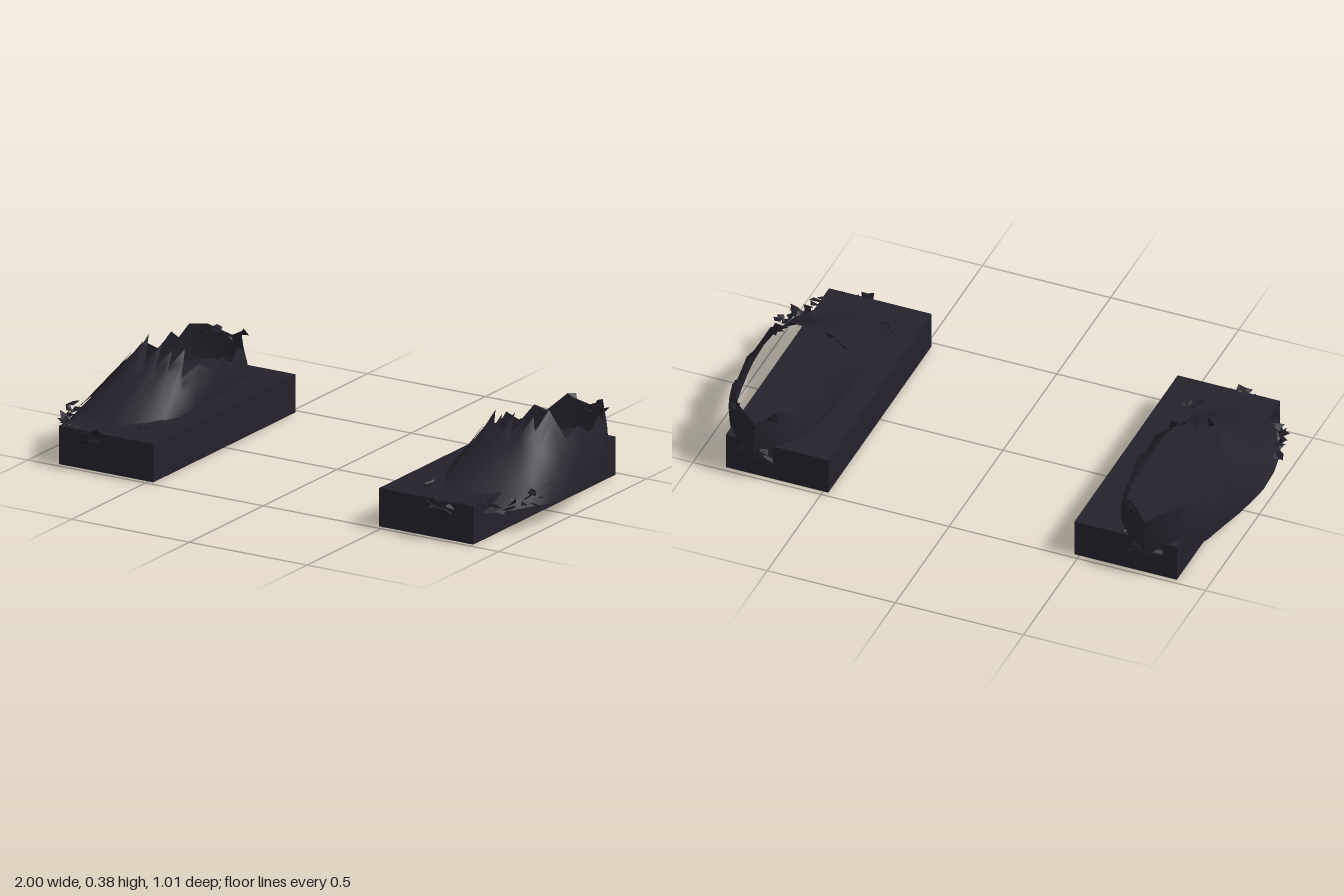
import * as THREE from 'three';

// Rows of x, y, z running heel -> outer side -> toe -> inner side -> heel.
const HEM = [
  .76, .08, -.50, .84, .08, -.47, .89, .08, -.40, .91, .08, -.36, .93, .08, -.31, .95, .08, -.22,
  .97, .075, -.12, .985, .075, -.03, .995, .075, .05, .995, .085, .15, .98, .095, .24, .95, .10, .33,
  .90, .10, .40, .83, .11, .45, .75, .11, .49, .70, .11, .47, .65, .11, .42, .61, .11, .36,
  .58, .10, .30, .56, .10, .22, .565, .09, .10, .58, .09, -.03, .59, .09, -.15, .60, .08, -.27,
  .61, .08, -.36, .65, .08, -.43, .70, .08, -.48,
];
const COLLAR = [
  .76, .24, -.50, .84, .28, -.46, .88, .29, -.40, .90, .245, -.36, .91, .275, -.325, .915, .23, -.25,
  .92, .28, -.16, .915, .25, -.09, .865, .36, -.055, .85, .29, .02, .83, .34, -.01, .815, .29, .06,
  .80, .33, 0, .775, .28, .07, .75, .345, -.01, .73, .28, .06, .70, .33, 0, .69, .28, .04,
  .66, .335, -.02, .64, .24, .05, .62, .28, -.05, .61, .24, -.12, .605, .275, -.18, .615, .22, -.26,
  .63, .265, -.33, .645, .23, -.39, .69, .28, -.45,
];
const COUNT = HEM.length / 3;

const material = new THREE.MeshStandardMaterial({ color: 0x24212b, side: THREE.DoubleSide });
const shardMaterial = new THREE.MeshStandardMaterial({ color: 0x1e1b24, side: THREE.DoubleSide, flatShading: true });

const at = (list, i) => new THREE.Vector3().fromArray(list, ((i % COUNT + COUNT) % COUNT) * 3);

function seeded(seed) {
  return () => (seed = (seed * 16807) % 2147483647) / 2147483647;
}

// Point on the upper: i counts around the foot, v runs from hem to torn collar.
function upperPoint(collar, i, v, offset = 0) {
  const bottom = at(HEM, i);
  const top = at(collar, i);
  const smooth = at(collar, i - 1).add(at(collar, i + 1)).multiplyScalar(.25).addScaledVector(top, .5);
  const p = bottom.clone().lerp(smooth, v).addScaledVector(top.sub(smooth), v ** 4);
  const toe = THREE.MathUtils.smoothstep(bottom.z, .1, .4);
  const swell = Math.sin(Math.PI * v);
  p.y -= .018 * toe * swell;
  const out = new THREE.Vector3(bottom.x - .77, 0, bottom.z * .3).normalize();
  return p.addScaledVector(out, .012 * (1 - toe) * swell + offset).add(new THREE.Vector3(0, offset, 0));
}

// Sheet spanning stations from..to, with its own lower and upper limits.
function sheet(collar, side, from, to, low, high, offset) {
  const rows = 8, pos = [], index = [];
  for (let i = from; i <= to; i++) {
    for (let r = 0; r <= rows; r++) {
      const v = THREE.MathUtils.lerp(low(i), high(i), r / rows);
      const p = upperPoint(collar, i, v, offset);
      pos.push(p.x * side, p.y, p.z);
      if (i < to && r < rows) {
        const a = (i - from) * (rows + 1) + r, b = a + rows + 1;
        const quad = [a, a + 1, b, b, a + 1, b + 1];
        index.push(...(side > 0 ? quad : quad.reverse()));
      }
    }
  }
  const geo = new THREE.BufferGeometry();
  geo.setAttribute('position', new THREE.Float32BufferAttribute(pos, 3));
  geo.setIndex(index);
  geo.computeVertexNormals();
  return geo;
}

// Crumpled scraps scattered along part of the hem.
function scraps(side, from, to, amount, lowY, highY, seed) {
  const rnd = seeded(seed), pos = [];
  for (let n = 0; n < amount; n++) {
    const u = from + (to - from) * (n + rnd()) / amount;
    const i = Math.floor(u);
    const c = at(HEM, i).lerp(at(HEM, i + 1), u - i);
    c.y = THREE.MathUtils.lerp(lowY, highY, rnd());
    const corners = [0, 1, 2, 3].map((k) => {
      const a = k * Math.PI / 2 + rnd();
      const s = .012 + .022 * rnd();
      const p = new THREE.Vector3(Math.cos(a) * s, (rnd() - .5) * .035, Math.sin(a) * s).add(c);
      return [side * Math.min(p.x, 1), p.y, THREE.MathUtils.clamp(p.z, -.505, .505)];
    });
    for (const k of [0, 1, 2, 0, 2, 3, 0, 3, 1]) pos.push(...corners[k]);
  }
  const geo = new THREE.BufferGeometry();
  geo.setAttribute('position', new THREE.Float32BufferAttribute(pos, 3));
  geo.computeVertexNormals();
  return geo;
}

function shoe(side) {
  const group = new THREE.Group();
  group.name = side > 0 ? 'leftShoe' : 'rightShoe';
  const add = (name, geo, mat = material) => {
    const mesh = new THREE.Mesh(geo, mat);
    mesh.name = name;
    group.add(mesh);
    return mesh;
  };

  // The right collar tears to a taller middle spike
  const collar = COLLAR.slice();
  if (side < 0) {
    collar[8 * 3 + 1] = .30;
    collar[12 * 3 + 1] = .375;
  }

  add('soleBlock', new THREE.BoxGeometry(.4, .145, .96)).position.set(side * .68, .0725, 0);
  add('upper', sheet(collar, side, 0, COUNT, () => 0, () => 1, 0));

  // Raised side panels with ragged edges
  const ragged = (i) => .12 + .1 * (i % 2);
  add('outerPanel', sheet(collar, side, 4, 10, ragged, (i) => .9 - .08 * (i % 2), .005));
  add('innerPanel', sheet(collar, side, 18, 24, ragged, (i) => .9 - .12 * (i % 2), .005));

  // Torn scraps at the toe and heel
  add('toeScraps', scraps(side, 9.5, 18, 40, .105, .145, 17), shardMaterial);
  add('heelScraps', scraps(side, 25.5, 28, 7, .09, .14, 91), shardMaterial);
  add('heelTabScraps', scraps(side, 26, 28.5, 5, .22, .265, 53), shardMaterial);
  return group;
}

export function createModel() {
  const model = new THREE.Group();
  model.name = 'tornShoes';
  model.add(shoe(1), shoe(-1));
  return model;
}
